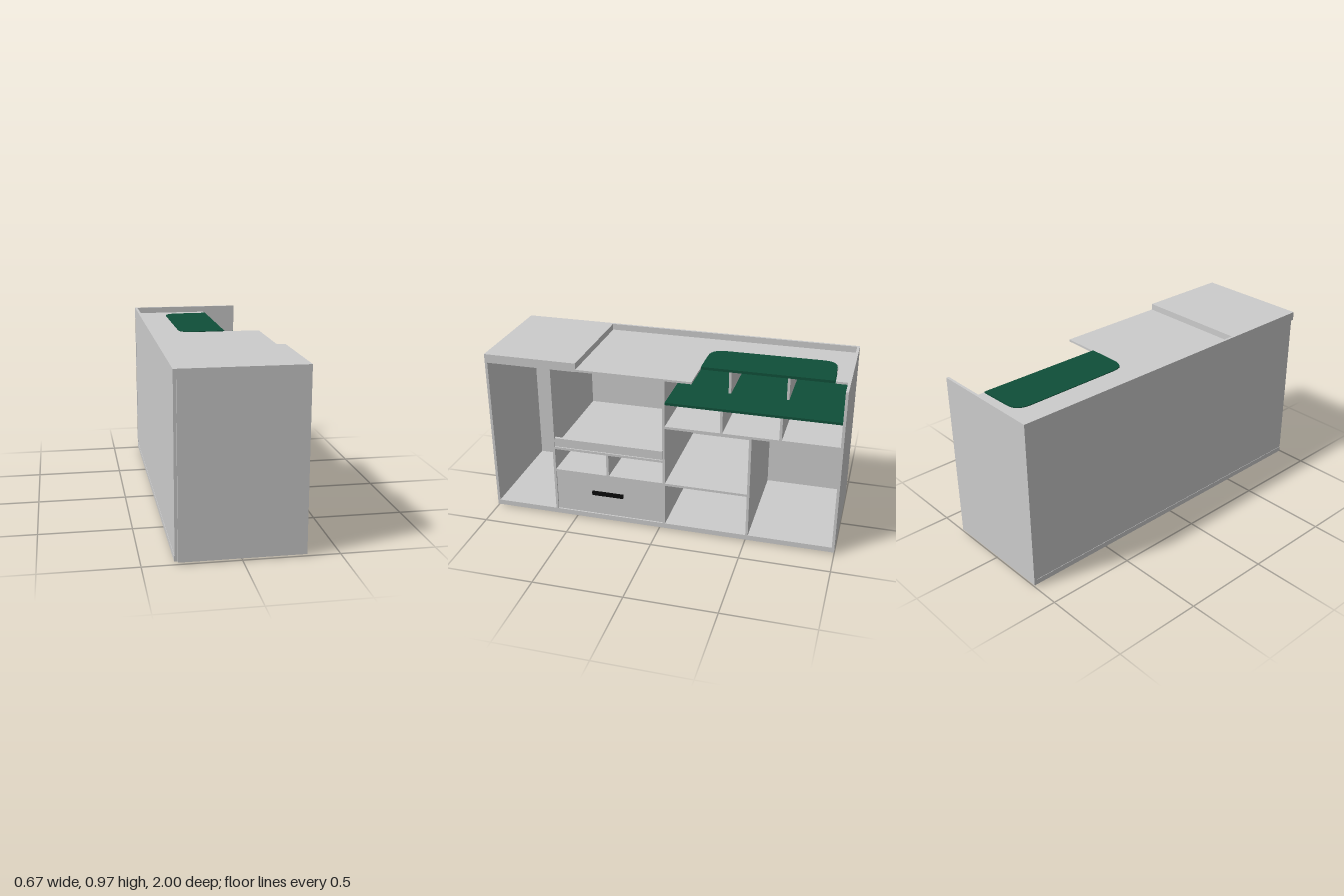
import * as THREE from 'three';

const grey = new THREE.MeshStandardMaterial({ color: 0xcccccc });
const green = new THREE.MeshStandardMaterial({ color: 0x0f4f39 });
const black = new THREE.MeshStandardMaterial({ color: 0x080808 });

export function createModel() {
  const model = new THREE.Group();

  const add = (name, geometry, material = grey) => {
    const mesh = new THREE.Mesh(geometry, material);
    mesh.name = name;
    model.add(mesh);
    return mesh;
  };

  // Board given by its limits on each axis
  const board = (name, [x0, x1], [y0, y1], [z0, z1], material) =>
    add(name, new THREE.BoxGeometry(x1 - x0, y1 - y0, z1 - z0), material)
      .position.set((x0 + x1) / 2, (y0 + y1) / 2, (z0 + z1) / 2);

  // Flat sheet cut from an outline in plan, where the outline's y is -z
  const sheet = (name, shape, y, thickness, material) => {
    const geometry = new THREE.ExtrudeGeometry(shape, { depth: thickness, bevelEnabled: false, curveSegments: 6 });
    geometry.rotateX(-Math.PI / 2);
    add(name, geometry, material).position.y = y;
  };

  const back = -0.32, front = 0.328, t = 0.014;
  const inside = [back, front];
  const upright = (name, z, y0, y1, x1 = front) =>
    board(name, [back, x1], [y0, y1], [z - t / 2, z + t / 2]);
  const shelf = (name, y, z0, z1, material) =>
    board(name, inside, [y - t / 2, y + t / 2], [z0, z1], material);

  // Carcass
  board('basePanel', [-0.337, front], [0.01, 0.04], [-0.985, 0.985]);
  board('backPanel', [-0.335, back], [0.01, 0.922], [-0.985, 0.985]);
  board('tallEndPanel', [-0.337, front], [0.01, 0.972], [-1, -0.985]);
  board('frontEndPanel', [back, front], [0.01, 0.922], [0.985, 1]);

  // Raised top slab and the rim behind the worktop
  board('topSlab', [-0.337, front], [0.922, 0.972], [0.465, 1]);
  board('backRim', [-0.337, -0.322], [0.922, 0.972], [-0.985, 0.465]);

  // Worktop with a round-cornered cutout open to the side
  const top = new THREE.Shape();
  top.moveTo(-0.322, -0.465);
  top.lineTo(front, -0.465);
  top.lineTo(front, 0.185);
  top.lineTo(-0.05, 0.185);
  top.quadraticCurveTo(-0.145, 0.185, -0.145, 0.26);
  top.lineTo(-0.15, 0.82);
  top.quadraticCurveTo(-0.15, 0.91, -0.07, 0.91);
  top.lineTo(0.12, 0.915);
  top.lineTo(0.12, 0.985);
  top.lineTo(-0.322, 0.985);
  top.closePath();
  sheet('worktop', top, 0.924, 0.012);

  // Green insert filling the cutout
  const insert = new THREE.Shape();
  insert.moveTo(0.12, 0.185);
  insert.lineTo(0.12, 0.91);
  insert.lineTo(-0.07, 0.905);
  insert.quadraticCurveTo(-0.15, 0.9, -0.15, 0.82);
  insert.lineTo(-0.145, 0.26);
  insert.quadraticCurveTo(-0.14, 0.185, -0.05, 0.185);
  insert.closePath();
  sheet('greenInsert', insert, 0.925, 0.015, green);

  // Full-height and half-height partitions
  upright('frontPartition', 0.62, 0.04, 0.924);
  upright('middlePartition', -0.03, 0.04, 0.924);
  upright('lowPartition', -0.51, 0.04, 0.643);

  // Shelves of the rear half
  shelf('rearLongShelf', 0.65, -0.985, -0.037);
  shelf('greenShelf', 0.793, -0.985, -0.037, green);
  shelf('rearShortShelf', 0.295, -0.503, -0.037);
  for (const z of [-0.35, -0.67]) {
    upright('lowerDivider', z, 0.657, 0.786);
    upright('upperDivider', z, 0.8, 0.925, 0.12);
  }

  // Drawer bay: shelf, small divider, tray with a lip, drawer front and handle
  shelf('drawerBayShelf', 0.295, -0.023, 0.613);
  upright('smallDivider', 0.3, 0.302, 0.432);
  shelf('trayBottom', 0.439, -0.023, 0.613);
  board('trayLip', [0.31, front], [0.45, 0.502], [-0.021, 0.611]);
  board('drawerFront', [0.308, 0.324], [0.043, 0.286], [-0.021, 0.611]);
  board('drawerHandle', [0.324, 0.337], [0.168, 0.19], [0.21, 0.395], black);

  // Feet
  for (const x of [-0.3, 0.287])
    for (const z of [-0.935, 0.935])
      add('foot', new THREE.CylinderGeometry(0.016, 0.016, 0.012, 16)).position.set(x, 0.006, z);

  return model;
}
